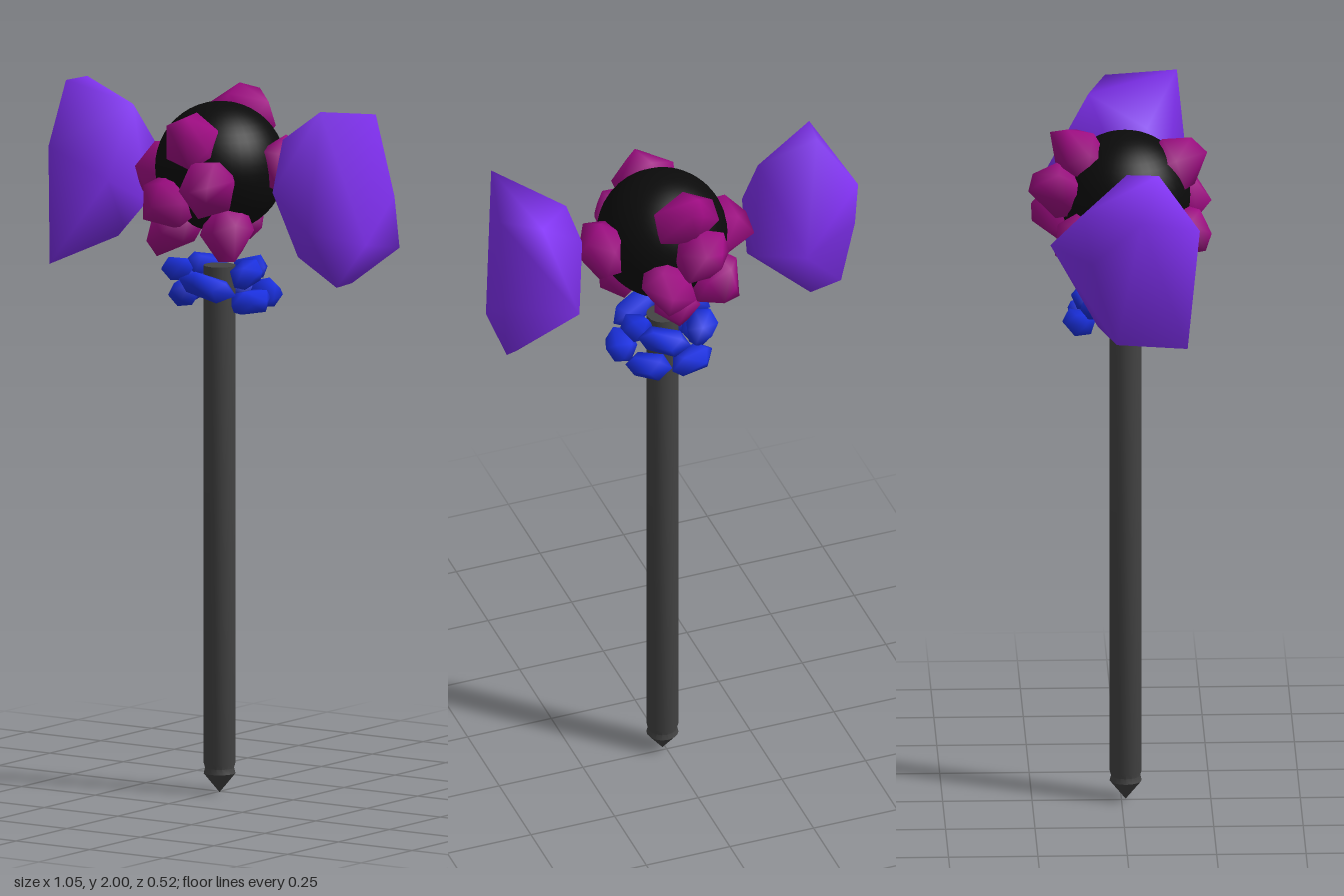
import * as THREE from 'three';
import { ConvexGeometry } from 'three/addons/geometries/ConvexGeometry.js';
import { mergeVertices, toCreasedNormals } from 'three/addons/utils/BufferGeometryUtils.js';

const material = (color) => new THREE.MeshStandardMaterial({ color });
const core = new THREE.Vector3(0.01, 1.78, 0.01);

// Convex stone with smooth shading across its facets
function stone(points) {
  const hull = new ConvexGeometry(points.map((p) => new THREE.Vector3(...p)));
  hull.deleteAttribute('normal');
  const merged = mergeVertices(hull);
  merged.computeVertexNormals();
  return merged;
}

function add(parent, name, geometry, mat) {
  const mesh = new THREE.Mesh(geometry, mat);
  mesh.name = name;
  parent.add(mesh);
  return mesh;
}

export function createModel() {
  const model = new THREE.Group();
  model.name = 'crystalHammer';

  // Shaft with a slightly grooved, pointed foot
  const profile = [[0, 0.005], [0.045, 0.06], [0.041, 0.075], [0.045, 0.09], [0.045, 1.5], [0, 1.5]];
  const shaft = new THREE.LatheGeometry(profile.map((p) => new THREE.Vector2(...p)), 16);
  add(model, 'shaft', toCreasedNormals(shaft, 0.6), material(0x444444)).position.set(0.008, 0, 0.012);

  // Dark ball in the middle of the head
  add(model, 'coreBall', new THREE.SphereGeometry(0.183, 40, 24), material(0x0b0b0b)).position.copy(core);

  // Large crystal on each side; the second is the first turned half a turn about z
  const crystal = stone([
    [0.46, 2.0, 0.17], [0.51, 1.97, -0.03], [0.4, 1.95, -0.08], [0.27, 1.89, 0.08],
    [0.26, 1.83, -0.02], [0.34, 1.73, -0.21], [0.525, 1.73, -0.1], [0.525, 1.58, -0.125],
    [0.44, 1.66, 0.205], [0.28, 1.75, 0.145], [0.28, 1.55, 0.02], [0.46, 1.49, 0.09],
    [0.45, 1.49, 0], [0.525, 1.61, 0.04],
  ]);
  const purple = material(0x8030f0);
  add(model, 'leftCrystal', crystal, purple);
  const opposite = add(model, 'rightCrystal', crystal, purple);
  opposite.rotation.z = Math.PI;
  opposite.position.y = 3.48;

  // Pointed shards growing out of the ball: centre, half width, half height, half length, spin
  const shardShape = stone([
    [0.6, 0.5, -1], [-0.5, 0.7, -1], [-0.7, -0.5, -1], [0.4, -0.8, -1],
    [1, 0.1, -0.1], [0.3, 0.9, 0], [-0.8, 0.7, 0.1], [-1, -0.3, -0.2], [-0.1, -1, 0], [0.75, -0.7, 0.2],
    [0.3, 0.35, 0.8], [-0.2, -0.1, 1], [0.2, -0.3, 0.75],
  ]);
  const shards = [
    [0.01, 1.875, 0.16, 0.085, 0.09, 0.085, 0.4],
    [-0.06, 1.69, 0.18, 0.08, 0.08, 0.075, 0],
    [0.08, 1.745, 0.18, 0.085, 0.085, 0.08, 2],
    [-0.1, 1.6, 0.1, 0.08, 0.065, 0.08, 1],
    [0.1, 1.6, 0.11, 0.075, 0.075, 0.08, 3],
    [-0.17, 1.74, 0.02, 0.075, 0.11, 0.1, 0],
    [0.215, 1.8, -0.03, 0.08, 0.09, 0.06, 0.3],
    [-0.01, 1.92, -0.13, 0.1, 0.075, 0.085, 0.2],
    [-0.04, 1.82, -0.19, 0.08, 0.085, 0.075, 1.5],
    [0.06, 1.72, -0.18, 0.07, 0.09, 0.08, 0.5],
    [-0.1, 1.68, -0.13, 0.075, 0.085, 0.075, 2.5],
    [0.01, 1.61, -0.11, 0.06, 0.065, 0.06, 1],
  ];
  const shardGroup = new THREE.Group();
  shardGroup.name = 'shards';
  model.add(shardGroup);
  const magenta = material(0xa00c84);
  for (const [x, y, z, w, h, l, spin] of shards) {
    const shard = add(shardGroup, 'shard', shardShape, magenta);
    shard.position.set(x, y, z);
    shard.lookAt(shard.position.clone().multiplyScalar(2).sub(core));
    shard.rotateZ(spin);
    shard.scale.set(w, h, l);
  }

  // Collar of small pebbles: centre, half width along the ring, tilt
  const pebbleShape = stone([
    [1, 0.1, 0], [-1, -0.1, 0.1], [0.6, 0.8, 0.4], [-0.5, 0.9, 0.4], [0.5, -0.8, 0.5], [-0.6, -0.8, 0.3],
    [0.5, 0.7, -0.6], [-0.6, 0.6, -0.6], [0.6, -0.7, -0.5], [-0.5, -0.8, -0.6], [0.3, 0.1, 1], [-0.4, 0, 0.9],
    [0.1, 0, -1],
  ]);
  const pebbles = [
    [-0.09, 1.49, 0.08, 0.075, 0.2], [0.045, 1.457, 0.125, 0.085, -0.3],
    [-0.065, 1.425, 0.08, 0.06, 0.4], [0.125, 1.41, 0.03, 0.075, 0],
    [0.09, 1.48, 0, 0.06, 0.3], [0.09, 1.415, -0.1, 0.07, 0.1],
    [0.04, 1.48, -0.09, 0.075, -0.2], [-0.03, 1.42, -0.12, 0.07, 0.1],
    [-0.08, 1.48, -0.06, 0.07, 0.2], [-0.09, 1.43, 0, 0.06, -0.3],
  ];
  const collar = new THREE.Group();
  collar.name = 'pebbleCollar';
  model.add(collar);
  const blue = material(0x1a30e0);
  for (const [x, y, z, w, tilt] of pebbles) {
    const pebble = add(collar, 'pebble', pebbleShape, blue);
    pebble.position.set(x, y, z);
    pebble.rotation.set(0, Math.atan2(x, z), tilt, 'YXZ');
    pebble.scale.set(w, 0.038, 0.045);
  }
  return model;
}
